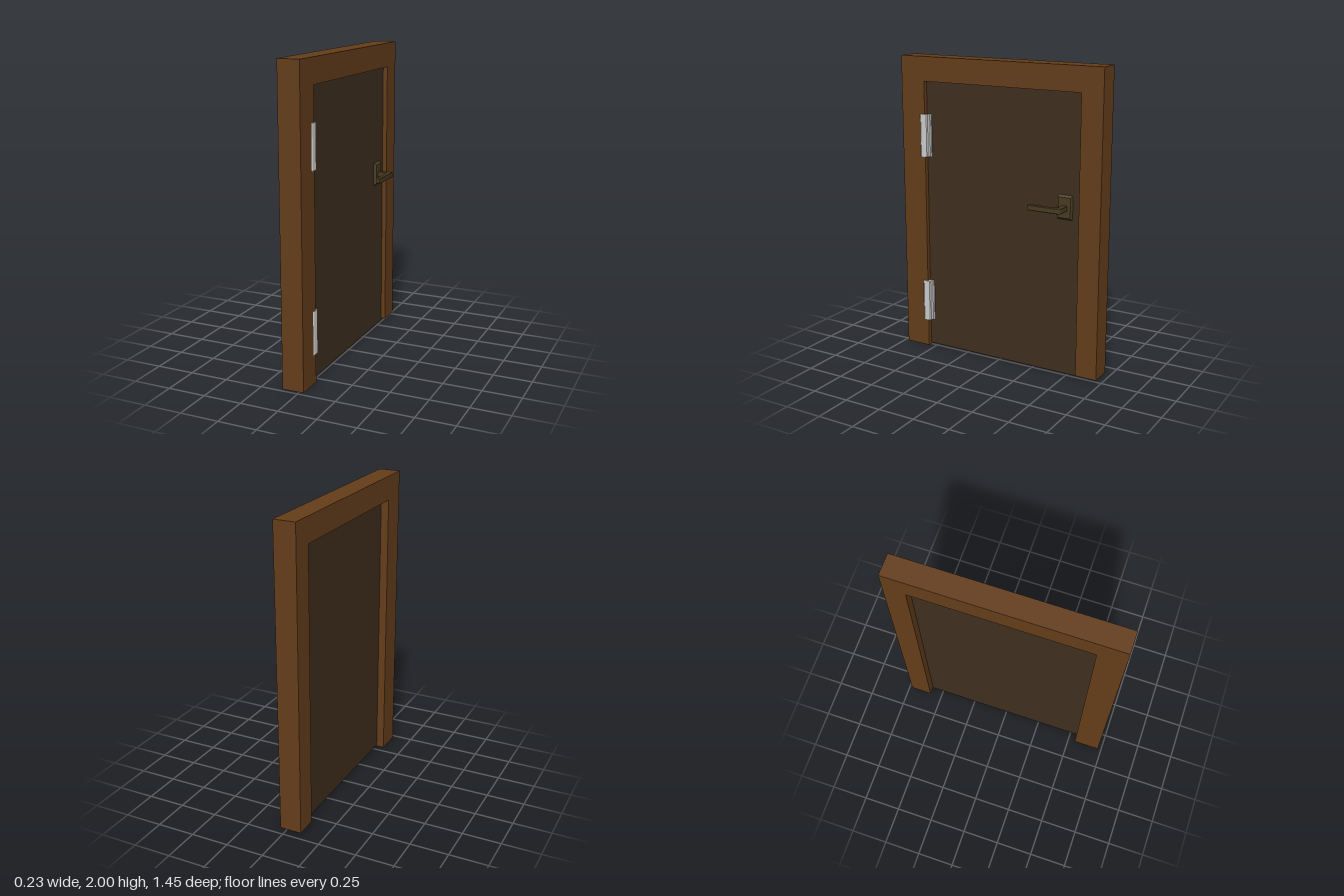
import * as THREE from 'three';

const material = (color) => new THREE.MeshStandardMaterial({ color, flatShading: true });

function addMesh(parent, name, geometry, mat) {
  const mesh = new THREE.Mesh(geometry, mat);
  mesh.name = name;
  parent.add(mesh);
  return mesh;
}

const shapeOf = (points) => new THREE.Shape(points.map(([a, b]) => new THREE.Vector2(a, b)));

// Extrude an outline given as [z, y] along x, starting at x0
function extrudeX(points, x0, depth) {
  const shape = shapeOf(points.map(([z, y]) => [-z, y]));
  return new THREE.ExtrudeGeometry(shape, { depth, bevelEnabled: false })
    .rotateY(Math.PI / 2).translate(x0, 0, 0);
}

// Extrude a shape drawn as (x, -z) upwards from y0
function extrudeY(shape, y0, depth, bevel = 0) {
  return new THREE.ExtrudeGeometry(shape, {
    depth: depth - 2 * bevel, bevelEnabled: bevel > 0, bevelSize: bevel,
    bevelThickness: bevel, bevelOffset: -bevel, bevelSegments: 1, curveSegments: 5,
  }).rotateX(-Math.PI / 2).translate(0, y0 + bevel, 0);
}

export function createModel() {
  const group = new THREE.Group();
  group.name = 'door';
  const frameWood = material(0x643d1a);
  const doorWood = material(0x3f2e1e);
  const bronze = material(0x483b20);
  const steel = material(0xcccccc);

  // Surround: wide hinge jamb, lintel and a slightly shorter latch jamb
  addMesh(group, 'frame', extrudeX([
    [0.725, 0], [0.725, 2], [-0.725, 2], [-0.725, 0.025],
    [-0.58, 0.025], [-0.58, 1.84], [0.55, 1.84], [0.55, 0],
  ], -0.115, 0.143), frameWood);

  // Recessed panel, tucked a little into the frame
  const panel = addMesh(group, 'doorPanel', new THREE.BoxGeometry(0.06, 1.84, 1.145), doorWood);
  panel.position.set(-0.032, 0.93, -0.0175);

  // Hinges wrap from the jamb face onto the panel
  const hingeShape = shapeOf([
    [-0.01, -0.585], [0.028, -0.585], [0.033, -0.578], [0.033, -0.535],
    [0.027, -0.528], [0.004, -0.526], [0.004, -0.515], [-0.01, -0.515],
  ].reverse());
  for (const [name, y] of [['lowerHinge', 0.19], ['upperHinge', 1.34]]) {
    addMesh(group, name, extrudeY(hingeShape, y, 0.283), steel);
  }

  // Lever handle with a bevelled backplate
  const handle = new THREE.Group();
  handle.name = 'handle';
  group.add(handle);
  const plate = new THREE.CylinderGeometry(0.82 * Math.SQRT1_2, Math.SQRT1_2, 0.018, 4)
    .rotateY(Math.PI / 4).rotateZ(-Math.PI / 2).scale(1, 0.16, 0.105);
  addMesh(handle, 'backplate', plate, bronze).position.set(0.006, 1.12, -0.4725);

  const lever = new THREE.Shape();
  lever.moveTo(0, 0.459);
  lever.lineTo(0.072, 0.459);
  lever.quadraticCurveTo(0.081, 0.459, 0.081, 0.45);
  lever.lineTo(0.081, 0.27);
  lever.lineTo(0.085, 0.264);
  lever.lineTo(0.108, 0.264);
  lever.lineTo(0.112, 0.27);
  lever.lineTo(0.112, 0.478);
  lever.quadraticCurveTo(0.112, 0.494, 0.096, 0.494);
  lever.lineTo(0, 0.494);
  addMesh(handle, 'lever', extrudeY(lever, 1.1, 0.034, 0.003), bronze);

  return group;
}
